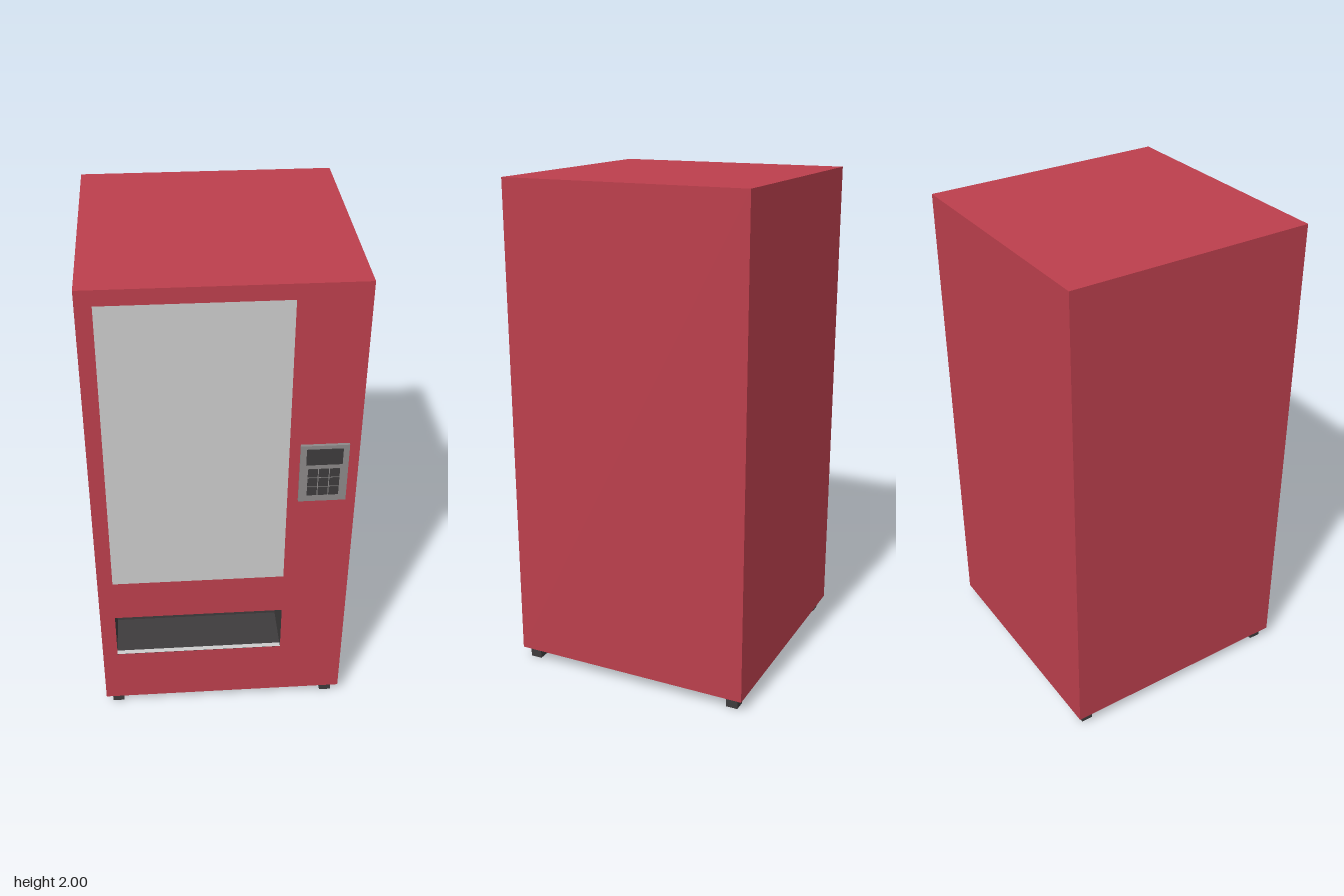
import * as THREE from 'three';

const mat = (color, side = THREE.FrontSide) => new THREE.MeshStandardMaterial({ color, side });
const red = mat(0xbb3f4c);
const dark = mat(0x3d3b3c);
const grey = mat(0xcccccc);
const metal = mat(0x8c8888);

// Cabinet limits
const X = 0.5, Y0 = 0.05, Y1 = 2, ZF = 0.49, ZB = -0.505;
// Openings in the front: [x0, x1, y0, y1]
const windowArea = [-0.44, 0.24, 0.7, 1.94];
const trayArea = [-0.44, 0.24, 0.305, 0.515];
const TRAY_BACK = 0.29;

function add(parent, name, geometry, material, x = 0, y = 0, z = 0) {
  const mesh = new THREE.Mesh(geometry, material);
  mesh.name = name;
  mesh.position.set(x, y, z);
  parent.add(mesh);
  return mesh;
}

// Flat panel turned about x and y; faces +z when unturned
function panel(parent, name, w, h, material, pos, rx = 0, ry = 0) {
  const mesh = add(parent, name, new THREE.PlaneGeometry(w, h), material, ...pos);
  mesh.rotation.set(rx, ry, 0);
  return mesh;
}

function rectangle([x0, x1, y0, y1], Type) {
  return new Type([[x0, y0], [x1, y0], [x1, y1], [x0, y1]].map(p => new THREE.Vector2(...p)));
}

function createCabinet() {
  const g = new THREE.Group();
  g.name = 'cabinet';
  const h = Y1 - Y0, d = ZF - ZB, cy = (Y0 + Y1) / 2, cz = (ZF + ZB) / 2, q = Math.PI / 2;

  // Front with openings for the window and the tray
  const front = rectangle([-X, X, Y0, Y1], THREE.Shape);
  front.holes.push(rectangle(windowArea, THREE.Path), rectangle(trayArea, THREE.Path));
  add(g, 'frontPanel', new THREE.ShapeGeometry(front), red, 0, 0, ZF);

  panel(g, 'leftPanel', d, h, red, [X, cy, cz], 0, q);
  panel(g, 'rightPanel', d, h, red, [-X, cy, cz], 0, -q);
  panel(g, 'backPanel', 2 * X, h, red, [0, cy, ZB], 0, Math.PI);
  panel(g, 'topPanel', 2 * X, d, red, [0, Y1, cz], -q);
  panel(g, 'bottomPanel', 2 * X, d, dark, [0, Y0, cz], q);
  return g;
}

function createTray() {
  const g = new THREE.Group();
  g.name = 'deliveryTray';
  const [x0, x1, y0, y1] = trayArea;
  const w = x1 - x0, h = y1 - y0, d = ZF - TRAY_BACK, q = Math.PI / 2;
  const cx = (x0 + x1) / 2, cy = (y0 + y1) / 2, cz = (ZF + TRAY_BACK) / 2;
  panel(g, 'trayBack', w, h, dark, [cx, cy, TRAY_BACK]);
  panel(g, 'trayFloor', w, d, dark, [cx, y0, cz], -q);
  panel(g, 'trayCeiling', w, d, dark, [cx, y1, cz], q);
  panel(g, 'trayRightWall', d, h, dark, [x0, cy, cz], 0, q);
  panel(g, 'trayLeftWall', d, h, dark, [x1, cy, cz], 0, -q);
  panel(g, 'traySill', w, 0.02, grey, [cx, y0 + 0.001, ZF - 0.01], -q);
  return g;
}

function createKeypad() {
  const g = new THREE.Group();
  g.name = 'keypad';
  const z = ZF + 0.006;
  add(g, 'keypadHousing', new THREE.BoxGeometry(0.18, 0.255, 0.012), metal, 0.37, 1.2175, z);
  add(g, 'display', new THREE.BoxGeometry(0.135, 0.07, 0.006), dark, 0.37, 1.295, z + 0.006);
  // Three by three buttons
  for (let row = 0; row < 3; row++) {
    for (let col = 0; col < 3; col++) {
      add(g, 'button', new THREE.BoxGeometry(0.037, 0.037, 0.006), dark,
        0.37 + (col - 1) * 0.041, 1.18 + (1 - row) * 0.042, z + 0.006);
    }
  }
  return g;
}

export function createModel() {
  const model = new THREE.Group();
  model.name = 'vendingMachine';
  model.add(createCabinet(), createTray(), createKeypad());

  // Window pane, flush with the front
  const [x0, x1, y0, y1] = windowArea;
  panel(model, 'windowPane', x1 - x0, y1 - y0, mat(0xcccccc, THREE.DoubleSide),
    [(x0 + x1) / 2, (y0 + y1) / 2, ZF]);

  // Feet
  for (const x of [-0.45, 0.45]) {
    for (const z of [-0.455, 0.445]) {
      add(model, 'foot', new THREE.BoxGeometry(0.048, Y0, 0.048), dark, x, Y0 / 2, z);
    }
  }
  return model;
}
